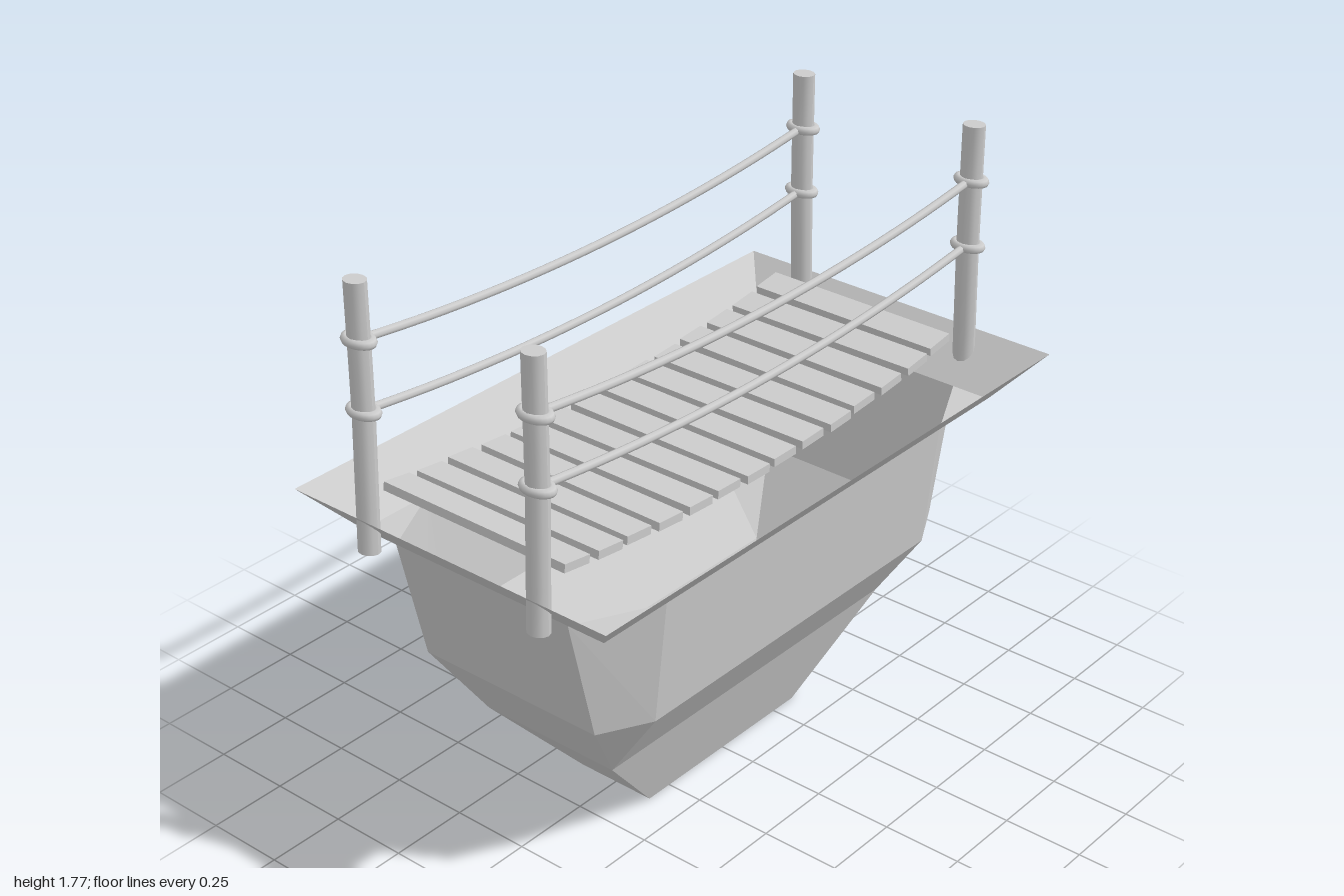
import * as THREE from 'three';

const smooth = new THREE.MeshStandardMaterial({ color: 0xcccccc });
const flat = new THREE.MeshStandardMaterial({ color: 0xcccccc, flatShading: true });
const shell = new THREE.MeshStandardMaterial({ color: 0xcccccc, flatShading: true, side: THREE.DoubleSide });

const BRIDGE_Z = -0.02; // the bridge sits slightly behind the middle of the basin
const POST_X = 0.94;
const POST_Z = 0.313;

function add(parent, name, geometry, material) {
  const mesh = new THREE.Mesh(geometry, material);
  mesh.name = name;
  parent.add(mesh);
  return mesh;
}

// Rectangle with cut corners: half sizes hx, hz and the corner cut starts cx, cz
function ring(y, hx, hz, cx = hx, cz = hz) {
  return [
    [hx, -cz], [hx, cz], [cx, hz], [-cx, hz],
    [-hx, cz], [-hx, -cz], [-cx, -hz], [cx, -hz],
  ].map(([x, z]) => new THREE.Vector3(x, y, z));
}

// Faceted open basin lofted through the rings, closed at the bottom
function basinGeometry() {
  const rings = [
    ring(1.09, 1.0, 0.568),
    ring(0.95, 0.87, 0.443),
    ring(0.95, 0.87, 0.443, 0.62, 0.317),
    ring(0.55, 0.775, 0.4, 0.62, 0.317),
    ring(0.31, 0.62, 0.238),
    ring(0, 0.34, 0.132),
  ];
  const points = [];
  const triangle = (a, b, c) => {
    if (new THREE.Triangle(a, b, c).getArea() > 1e-6) points.push(a, b, c);
  };
  for (let r = 0; r < rings.length - 1; r++) {
    const a = rings[r], b = rings[r + 1];
    for (let i = 0; i < 8; i++) {
      const j = (i + 1) % 8;
      triangle(a[i], a[j], b[i]);
      triangle(a[j], b[j], b[i]);
    }
  }
  const floor = rings[rings.length - 1];
  for (let i = 1; i < 7; i++) triangle(floor[0], floor[i], floor[i + 1]);
  const geometry = new THREE.BufferGeometry().setFromPoints(points);
  geometry.computeVertexNormals();
  return geometry;
}

// Post whose foot leans slightly outward
function postGeometry(side) {
  const geometry = new THREE.CylinderGeometry(0.032, 0.032, 0.81, 12, 6);
  geometry.scale(0.95, 1, 1.1).translate(0, 1.37, 0);
  const p = geometry.attributes.position;
  for (let i = 0; i < p.count; i++) {
    const lean = Math.max(0, 1.4 - p.getY(i)) / 0.435;
    p.setX(i, p.getX(i) + side * 0.014 * lean);
  }
  geometry.computeVertexNormals();
  return geometry;
}

// Hanging rope between the posts
function ropeGeometry(y) {
  const path = [];
  for (let i = 0; i <= 8; i++) {
    const t = i / 4 - 1;
    path.push(new THREE.Vector3(t * POST_X, y - 0.06 * (1 - t * t), 0));
  }
  return new THREE.TubeGeometry(new THREE.CatmullRomCurve3(path), 24, 0.0125, 8);
}

export function createModel() {
  const model = new THREE.Group();
  model.name = 'ropeBridgeOverBasin';
  add(model, 'basin', basinGeometry(), shell);

  const bridge = new THREE.Group();
  bridge.name = 'bridge';
  bridge.position.z = BRIDGE_Z;
  model.add(bridge);

  // Sagging deck of slightly uneven planks
  const deck = new THREE.Group();
  deck.name = 'deck';
  bridge.add(deck);
  for (let i = 0; i < 14; i++) {
    const x = -0.815 + i * 0.125;
    const plank = add(deck, 'plank', new THREE.BoxGeometry(0.097, 0.026, 0.665), flat);
    plank.position.set(x, 1.05 + 0.09 * x * x, -0.007 + 0.004 * Math.sin(i * 2.3));
    plank.rotation.z = Math.atan(0.18 * x);
    plank.rotation.y = 0.008 * Math.sin(i * 1.7);
  }

  // Posts, rope loops and hand ropes on both sides
  for (const sz of [1, -1]) {
    const railing = new THREE.Group();
    railing.name = sz > 0 ? 'frontRailing' : 'backRailing';
    railing.position.z = sz * POST_Z;
    bridge.add(railing);
    for (const sx of [1, -1]) {
      add(railing, 'post', postGeometry(sx), smooth).position.x = sx * POST_X;
      for (const y of [1.39, 1.6]) {
        const loop = add(railing, 'ropeLoop', new THREE.TorusGeometry(0.036, 0.014, 8, 20), smooth);
        loop.rotation.x = Math.PI / 2;
        loop.scale.set(0.8, 1.17, 1);
        loop.position.set(sx * POST_X, y, 0);
      }
    }
    for (const y of [1.39, 1.6]) add(railing, 'handRope', ropeGeometry(y), smooth);
  }
  return model;
}
